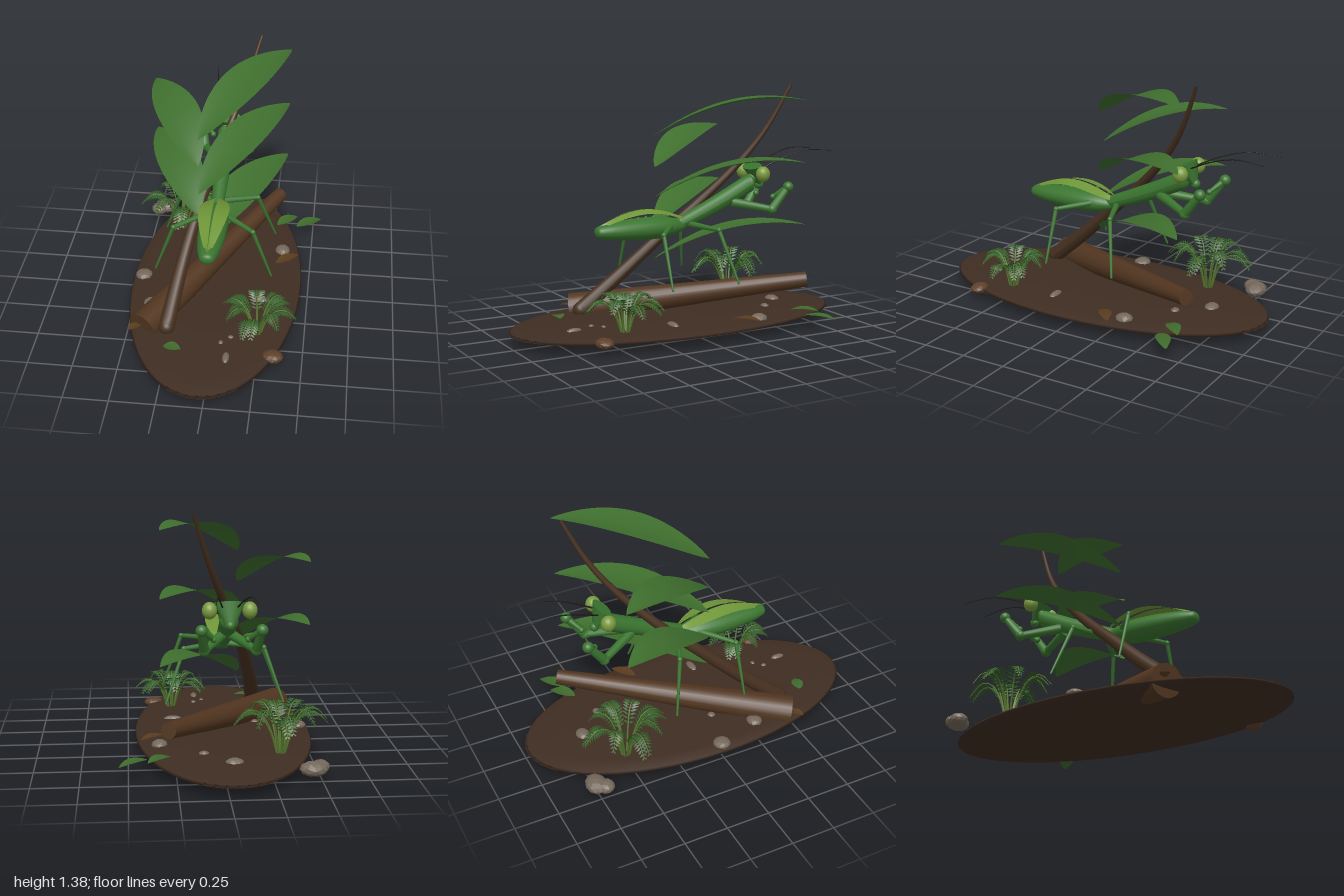
import * as THREE from 'three';

const V = (x, y, z) => new THREE.Vector3(x, y, z);
const mat = (color, extra = {}) => new THREE.MeshStandardMaterial({ color, ...extra });
const two = { side: THREE.DoubleSide };
const M = {
  soil: mat(0x3f2d22), bark: mat(0x523620), stem: mat(0x46301f),
  leaf: mat(0x3f6f2e, two), litter: mat(0x3f6a2c, two), dryLeaf: mat(0x5a3c1e, two),
  body: mat(0x3a742f), wing: mat(0x6f9638, two), eye: mat(0x7a9a3e), feeler: mat(0x1c1a14),
  fern: mat(0x34602a, two), fernStem: mat(0x56752f),
  stone: mat(0x74675a, { flatShading: true }), brownStone: mat(0x5e4029, { flatShading: true }),
};
const CX = -0.035; // the insect's middle plane

function add(parent, name, geo, material, pos) {
  const m = new THREE.Mesh(geo, material);
  m.name = name;
  if (pos) m.position.copy(pos);
  parent.add(m);
  return m;
}

// Straight tapered limb from a to b
function limb(parent, name, a, b, ra, rb, material, sides = 12) {
  const d = b.clone().sub(a);
  const m = add(parent, name, new THREE.CylinderGeometry(rb, ra, d.length(), sides), material, a.clone().lerp(b, 0.5));
  m.quaternion.setFromUnitVectors(V(0, 1, 0), d.normalize());
  return m;
}

function ball(parent, name, p, r, material, sx = 1, sy = 1, sz = 1) {
  const m = add(parent, name, new THREE.SphereGeometry(r, 20, 14), material, p);
  m.scale.set(sx, sy, sz);
  return m;
}

// Curved tube whose radius follows radius(t)
function taperTube(parent, name, pts, radius, material, segs = 32, sides = 12) {
  const curve = new THREE.CatmullRomCurve3(pts);
  const geo = new THREE.TubeGeometry(curve, segs, 1, sides);
  const pos = geo.attributes.position, v = V(0, 0, 0);
  for (let i = 0; i < pos.count; i++) {
    const t = Math.floor(i / (sides + 1)) / segs, c = curve.getPointAt(t);
    v.fromBufferAttribute(pos, i).sub(c).multiplyScalar(radius(t)).add(c);
    pos.setXYZ(i, v.x, v.y, v.z);
  }
  geo.computeVertexNormals();
  return add(parent, name, geo, material);
}

// Thin surface from a rule f(u, v), u along 0..1, v across -1..1
function sheet(parent, name, f, material, nu = 20, nv = 6) {
  const geo = new THREE.PlaneGeometry(1, 1, nv, nu);
  const pos = geo.attributes.position;
  for (let i = 0; i < pos.count; i++) {
    const p = f(pos.getY(i) + 0.5, pos.getX(i) * 2);
    pos.setXYZ(i, p.x, p.y, p.z);
  }
  geo.computeVertexNormals();
  return add(parent, name, geo, material);
}

// Arched leaf: rises quickly from a, flattens and dips towards b
function leaf(parent, name, a, b, halfWidth, arch, material) {
  const d = b.clone().sub(a);
  const side = V(-d.z, 0, d.x).normalize();
  return sheet(parent, name, (u, v) => {
    const p = a.clone().addScaledVector(d, u);
    const w = halfWidth * Math.pow(Math.sin(Math.PI * Math.pow(u, 0.9)), 0.85);
    p.addScaledVector(side, v * w);
    p.y += arch * 4 * u * (1 - u) + 0.12 * w * (v * v - 0.4);
    return p;
  }, material);
}

// Fern: arching fronds with paired pointed leaflets
function fern(parent, name, base, R, H, count) {
  const g = new THREE.Group();
  g.name = name;
  const pts = [];
  for (let i = 0; i < count; i++) {
    const a = (i / count) * Math.PI * 2 + 0.2 * (i % 3);
    const r = R * (i % 3 === 1 ? 0.82 : 1), h = H * (0.85 + 0.15 * ((i * 2) % 3) / 2);
    const out = V(Math.cos(a), 0, Math.sin(a)), side = V(-out.z, 0, out.x);
    const at = t => base.clone().addScaledVector(out, 0.02 + r * Math.pow(t, 1.25))
      .add(V(0, h * Math.sin(t * 2.35), 0));
    taperTube(g, 'frondStem', [0, 0.25, 0.5, 0.75, 1].map(at), t => 0.007 - 0.005 * t, M.fernStem, 12, 6);
    for (let k = 0; k < 15; k++) {
      const t = 0.3 + 0.7 * k / 14, p = at(t), len = 0.055 * Math.sin(Math.PI * (0.22 + 0.68 * k / 14));
      const fwd = at(t + 0.02).sub(p).normalize();
      for (const s of [-1, 1]) {
        const dir = side.clone().multiplyScalar(s).addScaledVector(fwd, 0.45).add(V(0, -0.12, 0)).normalize();
        const mid = p.clone().addScaledVector(dir, len * 0.45), tip = p.clone().addScaledVector(dir, len);
        const e1 = mid.clone().addScaledVector(fwd, 0.007), e2 = mid.clone().addScaledVector(fwd, -0.007);
        pts.push(p, e1, tip, p, tip, e2);
      }
    }
  }
  const geo = new THREE.BufferGeometry().setFromPoints(pts);
  geo.computeVertexNormals();
  add(g, 'leaflets', geo, M.fern);
  parent.add(g);
}

function buildInsect() {
  const g = new THREE.Group();
  g.name = 'mantis';
  // Abdomen, turned about the z axis
  const prof = [[0.02, -0.06], [0.038, -0.02], [0.058, 0.05], [0.066, 0.14], [0.064, 0.26], [0.054, 0.38], [0.042, 0.45], [0.028, 0.49], [0, 0.5]];
  const smooth = new THREE.SplineCurve(prof.map(p => new THREE.Vector2(...p))).getPoints(32);
  smooth.forEach(p => { p.x = Math.max(0, p.x); });
  const abdomen = add(g, 'abdomen', new THREE.LatheGeometry(smooth, 24).rotateX(Math.PI / 2), M.body, V(CX, 0.587, 0));
  abdomen.scale.set(1.22, 0.95, 1);
  for (let i = 0; i < 7; i++) ball(g, 'backBump', V(CX, 0.649 - 0.0035 * i * i * 0.25, 0.14 + i * 0.048), 0.009, M.body);
  // Folded wings over the back
  for (const s of [-1, 1]) sheet(g, 'wing', (u, v) => V(
    CX + s * (0.012 * (1 - u) + (v + 1) * 0.5 * 0.078 * Math.pow(Math.sin(Math.PI * Math.pow(u, 0.75)), 0.8)),
    0.63 + 0.072 * Math.sin(Math.PI * u) - 0.01 * u - 0.008 * (v + 1),
    -0.06 + 0.54 * u), M.wing);
  // Thorax, neck and head
  taperTube(g, 'thorax', [V(CX, 0.58, 0.02), V(CX, 0.625, -0.1), V(CX, 0.7, -0.28), V(CX, 0.8, -0.49)],
    t => 0.034 + 0.016 * Math.pow(t, 2) + 0.008 * Math.sin(t * Math.PI), M.body, 20, 16);
  ball(g, 'thoraxFront', V(CX, 0.8, -0.49), 0.05, M.body, 1, 1, 0.6);
  limb(g, 'neck', V(CX, 0.79, -0.47), V(CX, 0.85, -0.53), 0.03, 0.03, M.body);
  const head = add(g, 'head', new THREE.CylinderGeometry(0.085, 0.025, 0.12, 20), M.body, V(CX, 0.845, -0.535));
  head.scale.z = 0.5;
  head.rotation.x = 0.4;
  ball(g, 'mouth', V(CX, 0.79, -0.56), 0.026, M.body);
  for (const s of [-1, 1]) {
    const P = (x, y, z) => V(CX + s * x, y, z);
    ball(g, 'eye', P(0.105, 0.862, -0.52), 0.042, M.eye, 0.95, 1.08, 1);
    taperTube(g, 'antenna', [P(0.04, 0.885, -0.55), P(0.065, 0.945, -0.68), P(0.085, 0.985, -0.83), P(0.105, 0.978, -1)],
      t => 0.0045 - 0.003 * t, M.feeler, 20, 6);
    // Grasping foreleg
    const shoulder = P(0.025, 0.7, -0.36), elbow = P(0.135, 0.658, -0.565), wrist = P(0.155, 0.785, -0.662), claw = P(0.09, 0.725, -0.6);
    limb(g, 'foreCoxa', shoulder, elbow, 0.028, 0.02, M.body);
    ball(g, 'foreElbow', elbow, 0.029, M.body);
    limb(g, 'foreFemur', elbow, wrist, 0.027, 0.02, M.body);
    ball(g, 'foreWrist', wrist, 0.031, M.body);
    limb(g, 'foreTibia', wrist, claw, 0.02, 0.011, M.body);
    ball(g, 'foreClaw', claw, 0.017, M.body);
    // Walking legs
    const legs = [
      ['middleLeg', P(0.02, 0.595, -0.08), P(0.222, 0.582, -0.155), P(0.325, 0.285, -0.225)],
      ['hindLeg', P(0.04, 0.595, 0.05), P(0.222, 0.582, 0.195), P(0.33, 0.29, 0.197)],
    ];
    for (const [name, hip, knee, foot] of legs) {
      limb(g, name + 'Upper', hip, knee, 0.018, 0.012, M.body, 10);
      ball(g, name + 'Knee', knee, 0.015, M.body);
      limb(g, name + 'Lower', knee, foot, 0.012, 0.006, M.body, 10);
    }
  }
  return g;
}

export function createModel() {
  const root = new THREE.Group();
  root.name = 'mantisDiorama';

  // Oval soil base, thin at the rim
  const soil = [[0, 0.03], [0.6, 0.036], [0.9, 0.05], [1, 0.062], [0.985, 0.075], [0.85, 0.088], [0.5, 0.096], [0, 0.098]];
  add(root, 'soilBase', new THREE.LatheGeometry(soil.map(p => new THREE.Vector2(...p)), 56), M.soil, V(CX, 0, 0))
    .scale.set(0.495, 1, 1);

  // Fallen log and leaning stem
  limb(root, 'fallenLog', V(-0.4, 0.09, 0.49), V(0.29, 0.27, -0.68), 0.09, 0.043, M.bark, 20);
  const stemPts = [[-0.262, 0.11, 0.49], [-0.215, 0.32, 0.24], [-0.165, 0.5, 0.04], [-0.1, 0.68, -0.16],
    [-0.02, 0.87, -0.345], [0.04, 1.02, -0.465], [0.09, 1.16, -0.55], [0.155, 1.375, -0.645]].map(p => V(...p));
  taperTube(root, 'leaningStem', stemPts, t => 0.046 - 0.037 * t, M.stem, 40, 14);
  ball(root, 'stemFoot', stemPts[0], 0.046, M.stem);

  // Large arched leaves in tiers
  for (const y of [1.09, 0.74, 0.39])
    leaf(root, 'rightLeaf', V(-0.13, y, 0.09), V(0.33, y + 0.205, -0.64), 0.13, 0.09, M.leaf);
  for (const y of [0.915, 0.585])
    leaf(root, 'leftLeaf', V(-0.13, y, 0.08), V(-0.45, y + 0.2, -0.55), 0.125, 0.08, M.leaf);

  root.add(buildInsect());

  fern(root, 'frontFern', V(0.24, 0.085, 0.46), 0.19, 0.205, 10);
  fern(root, 'rearFern', V(-0.31, 0.085, -0.52), 0.23, 0.27, 12);

  // Stones: x, z, half sizes in x, y, z
  const stones = [[-0.45, -0.76, 0.075, 0.04, 0.06], [-0.49, -0.72, 0.05, 0.035, 0.05], [-0.05, -0.67, 0.05, 0.025, 0.04],
    [0.33, -0.33, 0.045, 0.03, 0.05], [-0.47, 0, 0.05, 0.025, 0.05], [-0.38, 0.26, 0.05, 0.025, 0.045],
    [0.24, 0.17, 0.055, 0.022, 0.025], [-0.23, 0.06, 0.025, 0.02, 0.025], [0.09, 0.69, 0.02, 0.018, 0.045],
    [0.05, 0.57, 0.015, 0.015, 0.018], [0.1, 0.52, 0.018, 0.015, 0.014], [0.1, -0.52, 0.03, 0.02, 0.025]];
  stones.forEach(([x, z, a, b, c], i) => {
    const m = add(root, 'stone', new THREE.IcosahedronGeometry(1, 1).rotateY(i), M.stone, V(x, i < 2 ? 0.075 : 0.088, z));
    m.scale.set(a, b, c);
  });
  add(root, 'brownStone', new THREE.IcosahedronGeometry(1, 1), M.brownStone, V(0.34, 0.07, 0.63)).scale.set(0.06, 0.03, 0.05);

  // Fallen leaves on and beside the soil
  leaf(root, 'fallenLeaf', V(0.4, 0.09, -0.59), V(0.55, 0.083, -0.7), 0.04, 0.015, M.litter);
  leaf(root, 'fallenLeaf', V(0.28, 0.1, -0.58), V(0.4, 0.1, -0.69), 0.04, 0.015, M.litter);
  leaf(root, 'fallenLeaf', V(-0.26, 0.1, 0.64), V(-0.16, 0.1, 0.66), 0.035, 0.01, M.litter);
  leaf(root, 'dryLeaf', V(0.3, 0.1, -0.18), V(0.43, 0.1, -0.28), 0.035, 0.012, M.dryLeaf);
  leaf(root, 'dryLeaf', V(-0.48, 0.1, 0.53), V(-0.4, 0.1, 0.47), 0.025, 0.01, M.dryLeaf);
  return root;
}
